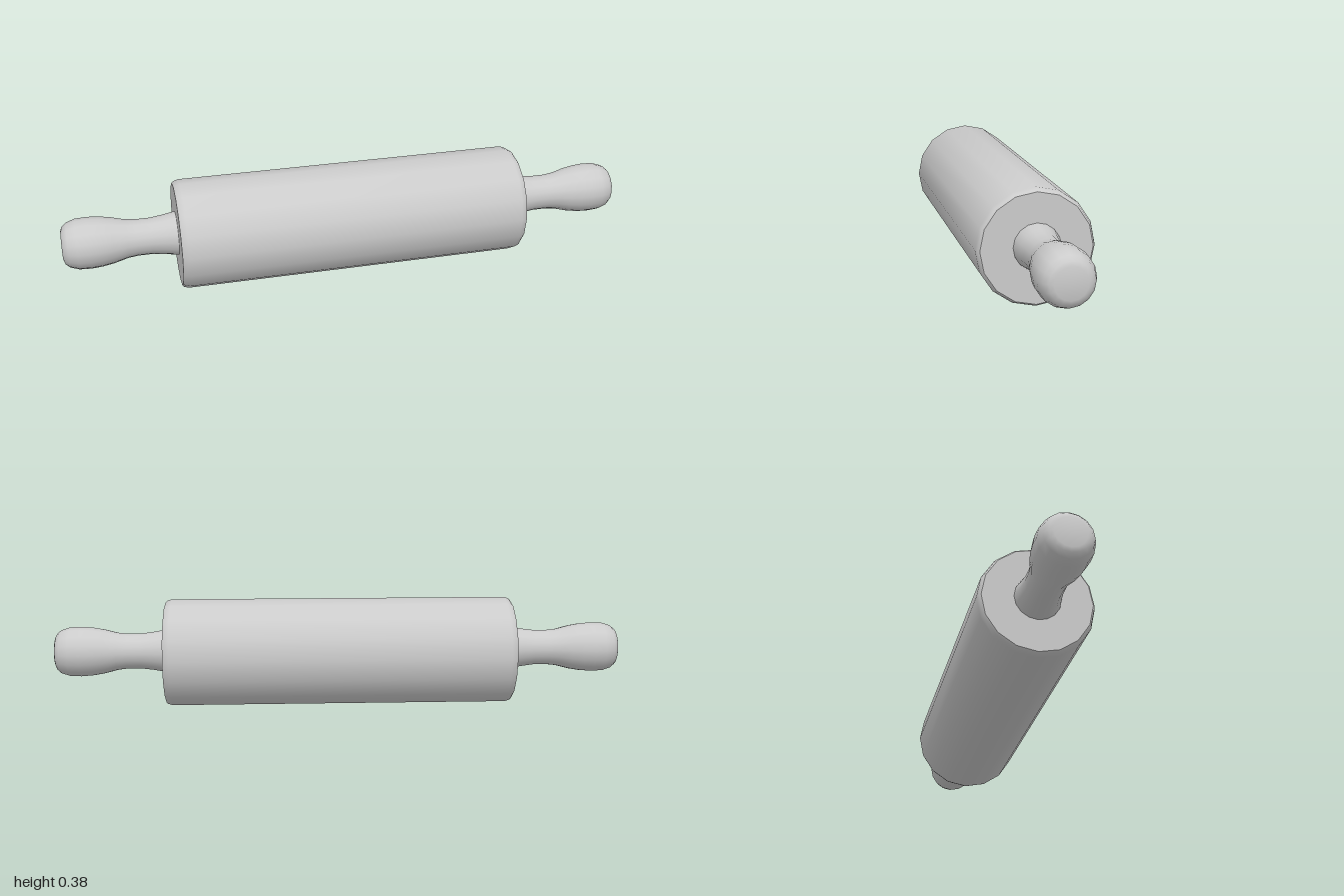
import * as THREE from 'three';
import { toCreasedNormals } from 'three/addons/utils/BufferGeometryUtils.js';

const material = new THREE.MeshStandardMaterial({ color: 0xcccccc });

// 16-sided turned part along the x axis; profile holds [x, radius] with x increasing
function turned(name, profile, y, crease) {
  const points = profile.map(([x, r]) => new THREE.Vector2(r, x));
  const geometry = toCreasedNormals(new THREE.LatheGeometry(points, 16), crease);
  geometry.rotateZ(-Math.PI / 2);
  const mesh = new THREE.Mesh(geometry, material);
  mesh.name = name;
  mesh.position.y = y;
  return mesh;
}

export function createModel() {
  const model = new THREE.Group();
  model.name = 'rollingPin';

  // Roller with bevelled ends
  const end = [[0.59, 0.19], [0.606, 0.185], [0.612, 0.179], [0.612, 0]];
  const start = end.map(([x, r]) => [-x, r]).reverse();
  model.add(turned('roller', [...start, ...end], 0.192, 0.6));

  // Handles: narrow neck swelling to a rounded knob
  const handle = [
    [0.59, 0.077], [0.62, 0.075], [0.66, 0.068], [0.70, 0.063], [0.75, 0.063],
    [0.785, 0.067], [0.83, 0.079], [0.87, 0.086], [0.91, 0.089], [0.95, 0.087],
    [0.98, 0.077], [0.995, 0.064], [1, 0.05], [1, 0],
  ];
  for (const side of [1, -1]) {
    const mesh = turned(side > 0 ? 'leftHandle' : 'rightHandle', handle, 0.198, 1.2);
    if (side < 0) mesh.rotation.y = Math.PI;
    model.add(mesh);
  }
  return model;
}
